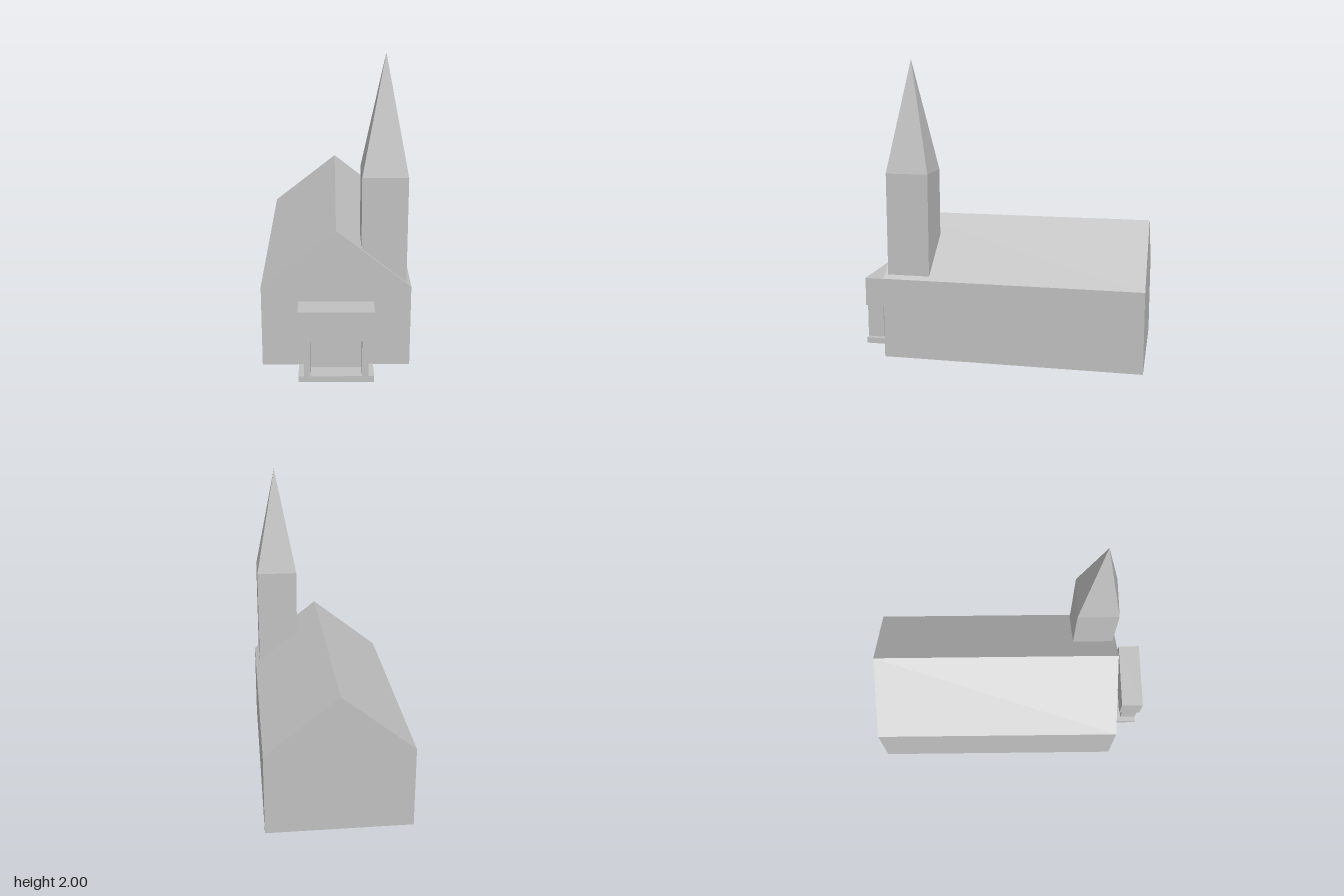
import * as THREE from 'three';

// Hollow shell with an open underside: the outline runs from the lower left corner
// over the top to the lower right corner, and is carried from zBack to zFront.
function openShell(outline, zBack, zFront) {
  const positions = [];
  const fan = (pts) => {
    for (let i = 1; i < pts.length - 1; i++) positions.push(...pts[0], ...pts[i], ...pts[i + 1]);
  };
  const front = outline.map(([x, y]) => [x, y, zFront]);
  const back = outline.map(([x, y]) => [x, y, zBack]);
  fan([...front].reverse());
  fan(back);
  for (let i = 0; i < outline.length - 1; i++) fan([front[i], front[i + 1], back[i + 1], back[i]]);
  const geometry = new THREE.BufferGeometry();
  geometry.setAttribute('position', new THREE.Float32BufferAttribute(positions, 3));
  geometry.computeVertexNormals();
  return geometry;
}

export function createModel() {
  const stone = new THREE.MeshStandardMaterial({ color: 0xc0c0c0, side: THREE.DoubleSide });
  stone.name = 'greyStone';
  const model = new THREE.Group();
  model.name = 'church';

  const add = (name, geometry, x = 0, y = 0, z = 0, parent = model) => {
    const mesh = new THREE.Mesh(geometry, stone);
    mesh.name = name;
    mesh.position.set(x, y, z);
    parent.add(mesh);
    return mesh;
  };

  // Nave: gabled hall, open underneath
  const half = 0.475, eaves = 0.545, ridge = 0.922;
  add('nave', openShell([[-half, 0], [-half, eaves], [0, ridge], [half, eaves], [half, 0]], -0.98, 0.76));

  // Tower: square shaft whose foot follows the roof slope
  const roofAt = (x) => ridge - (ridge - eaves) * x / half;
  const side = 0.286, towerX = 0.302, towerZ = 0.592, towerTop = 1.255;
  const x0 = towerX - side / 2, x1 = towerX + side / 2;
  const shaft = new THREE.Shape([
    new THREE.Vector2(x0, roofAt(x0)),
    new THREE.Vector2(x1, roofAt(x1)),
    new THREE.Vector2(x1, towerTop),
    new THREE.Vector2(x0, towerTop),
  ]);
  add('tower', new THREE.ExtrudeGeometry(shaft, { depth: side, bevelEnabled: false }), 0, 0, towerZ - side / 2);

  // Spire: four-sided pyramid, with flat normals
  const spireHeight = 2 - towerTop;
  const spire = new THREE.ConeGeometry(side / Math.SQRT2, spireHeight, 4, 1, true)
    .rotateY(Math.PI / 4).toNonIndexed();
  spire.computeVertexNormals();
  add('spire', spire, towerX, towerTop + spireHeight / 2, towerZ);

  // Porch: hollow plinth, two posts, a recessed back panel and a deep lintel
  const porch = new THREE.Group();
  porch.name = 'porch';
  model.add(porch);
  const w = 0.236, zBack = 0.825, zFront = 0.98, plinthTop = 0.04, postTop = 0.28, lintelTop = 0.477;
  const postBack = 0.865, postDepth = zFront - postBack, postHeight = postTop - plinthTop;
  const postY = (plinthTop + postTop) / 2;

  add('plinth', openShell([[-w, 0], [-w, plinthTop], [w, plinthTop], [w, 0]], zBack, zFront), 0, 0, 0, porch);
  for (const s of [-1, 1]) {
    add(s > 0 ? 'leftPost' : 'rightPost', new THREE.BoxGeometry(0.04, postHeight, postDepth),
      s * 0.18, postY, postBack + postDepth / 2, porch);
  }
  add('backPanel', new THREE.PlaneGeometry(0.32, postHeight), 0, postY, postBack, porch);
  add('lintel', new THREE.BoxGeometry(2 * w, lintelTop - postTop, zFront - zBack),
    0, (postTop + lintelTop) / 2, (zBack + zFront) / 2, porch);

  return model;
}
